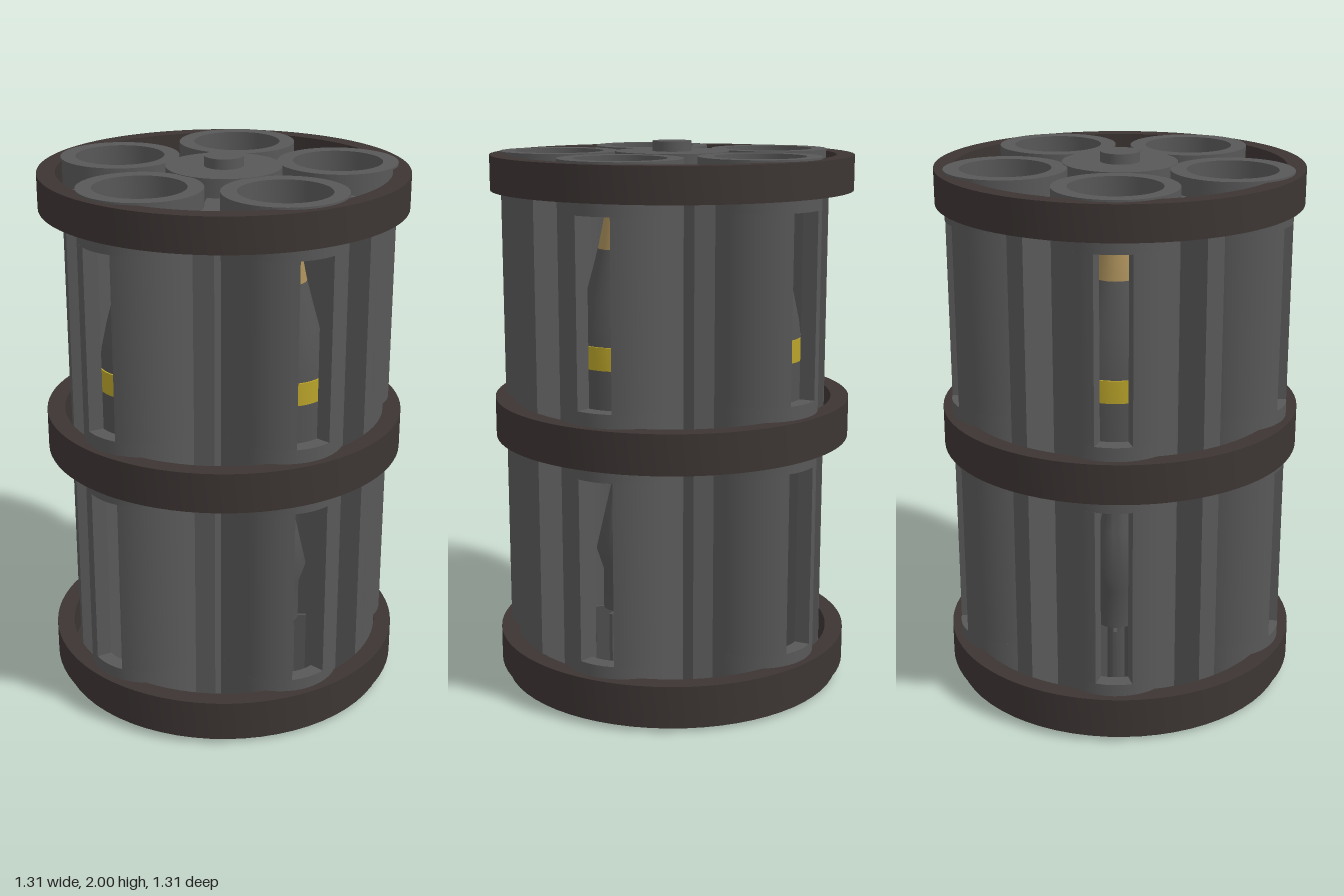
import * as THREE from 'three';
import { toCreasedNormals } from 'three/addons/utils/BufferGeometryUtils.js';

const mat = (name, color) => {
  const m = new THREE.MeshStandardMaterial({ color });
  m.name = name;
  return m;
};

export function createModel() {
  const steel = mat('steel grey', 0x595858);
  const brown = mat('dark brown', 0x3c3533);
  const shellGrey = mat('shell grey', 0x525252);
  const brass = mat('brass', 0xa68c58);
  const yellow = mat('yellow', 0xb9a32a);

  const model = new THREE.Group();
  model.name = 'drumMagazine';

  const add = (parent, name, geometry, material, x = 0, y = 0, z = 0) => {
    const mesh = new THREE.Mesh(geometry, material);
    mesh.name = name;
    mesh.position.set(x, y, z);
    parent.add(mesh);
    return mesh;
  };
  const disc = (r, y0, y1, seg = 48) =>
    new THREE.CylinderGeometry(r, r, y1 - y0, seg).translate(0, (y0 + y1) / 2, 0);
  const lathe = (pts, seg = 40) => toCreasedNormals(
    new THREE.LatheGeometry(pts.map(([r, y]) => new THREE.Vector2(r, y)), seg), 0.6);

  // Upright ring wall from y0 to y1, with an optional radial opening facing +z
  const ringWall = (rIn, rOut, y0, y1, halfGap = 0, seg = 24) => {
    const shape = new THREE.Shape();
    if (halfGap) {
      const a = -Math.PI / 2 + halfGap, b = Math.PI * 1.5 - halfGap;
      shape.absarc(0, 0, rOut, a, b, false);
      shape.absarc(0, 0, rIn, b, a, true);
    } else {
      shape.absarc(0, 0, rOut, 0, Math.PI * 2, false);
      shape.holes.push(new THREE.Path().absarc(0, 0, rIn, 0, Math.PI * 2, true));
    }
    const g = new THREE.ExtrudeGeometry(shape, { depth: y1 - y0, bevelEnabled: false, curveSegments: seg });
    g.rotateX(-Math.PI / 2).translate(0, y0, 0);
    return toCreasedNormals(g, 0.5);
  };

  // Three clamping rings and the base plate
  const rings = [['bottomRing', 0.05, 0.175], ['middleRing', 0.93, 1.075], ['topRing', 1.83, 1.955]];
  for (const [name, y0, y1] of rings) add(model, name, ringWall(0.59, 0.655, y0, y1, 0, 40), brown);
  add(model, 'basePlate', disc(0.633, 0.01, 0.047, 64), brown);

  // Central column and axle ends
  add(model, 'centralColumn', disc(0.205, 0.047, 1.964), steel);
  add(model, 'axleTop', disc(0.07, 1.964, 2), steel, 0, 0, 0);
  add(model, 'axleBottom', disc(0.066, 0.004, 0.01), steel);

  // Shared tube sections: [y0, y1, half angle of the window]
  const gap = 0.307;
  const tubeParts = [
    [0.047, 0.22, 0], [0.22, 0.885, gap], [0.885, 1.125, 0], [1.125, 1.785, gap], [1.785, 1.962, 0],
  ].map(([y0, y1, h]) => ringWall(0.16, 0.215, y0, y1, h));

  // Shared round profiles
  const bodyGeo = lathe([[0, 1.0], [0.15, 1.0], [0.15, 1.26]]);
  const bandGeo = lathe([[0.15, 1.26], [0.156, 1.26], [0.156, 1.34], [0.15, 1.34]]);
  const noseGeo = lathe([[0.15, 1.34], [0.143, 1.4], [0.121, 1.5], [0.096, 1.59], [0.078, 1.66]]);
  const fuseGeo = lathe([[0.078, 1.66], [0.052, 1.785], [0.023, 1.897], [0, 1.897]], 20);
  const tailGeo = lathe([[0, 0.37], [0.07, 0.37], [0.07, 0.515], [0.094, 0.59], [0.06, 0.74], [0.026, 0.885], [0.026, 1.0]]);
  const boomGeo = disc(0.04, 0.047, 0.37, 20);
  const finGeo = new THREE.BoxGeometry(0.012, 0.3, 0.07);
  const primerGeo = disc(0.066, 0, 0.01, 24);
  const ribGeo = new THREE.BoxGeometry(0.07, 1.85, 0.4);

  for (let i = 0; i < 5; i++) {
    const angle = (i * Math.PI * 2) / 5;

    // Launch tube with its round, facing outward
    const arm = new THREE.Group();
    arm.name = 'tubeAssembly' + (i + 1);
    arm.rotation.y = angle;
    model.add(arm);
    const tube = new THREE.Group();
    tube.name = 'tube';
    tube.position.z = 0.413;
    arm.add(tube);
    tubeParts.forEach((g, k) => add(tube, 'tubeSection' + (k + 1), g, steel));
    add(tube, 'shellBody', bodyGeo, shellGrey);
    add(tube, 'shellBand', bandGeo, yellow);
    add(tube, 'shellNose', noseGeo, shellGrey);
    add(tube, 'shellFuse', fuseGeo, brass);
    add(tube, 'shellTail', tailGeo, shellGrey);
    add(tube, 'tailBoom', boomGeo, shellGrey);
    for (let f = 0; f < 6; f++) {
      const a = (f * Math.PI) / 3;
      const fin = add(tube, 'tailFin', finGeo, shellGrey, Math.sin(a) * 0.065, 0.22, Math.cos(a) * 0.065);
      fin.rotation.y = a;
    }
    add(tube, 'primer', primerGeo, brass);

    // Radial rib between neighbouring tubes
    const ribArm = new THREE.Group();
    ribArm.name = 'ribArm' + (i + 1);
    ribArm.rotation.y = angle + Math.PI / 5;
    model.add(ribArm);
    add(ribArm, 'rib', ribGeo, steel, 0, 0.972, 0.365);
  }
  return model;
}
